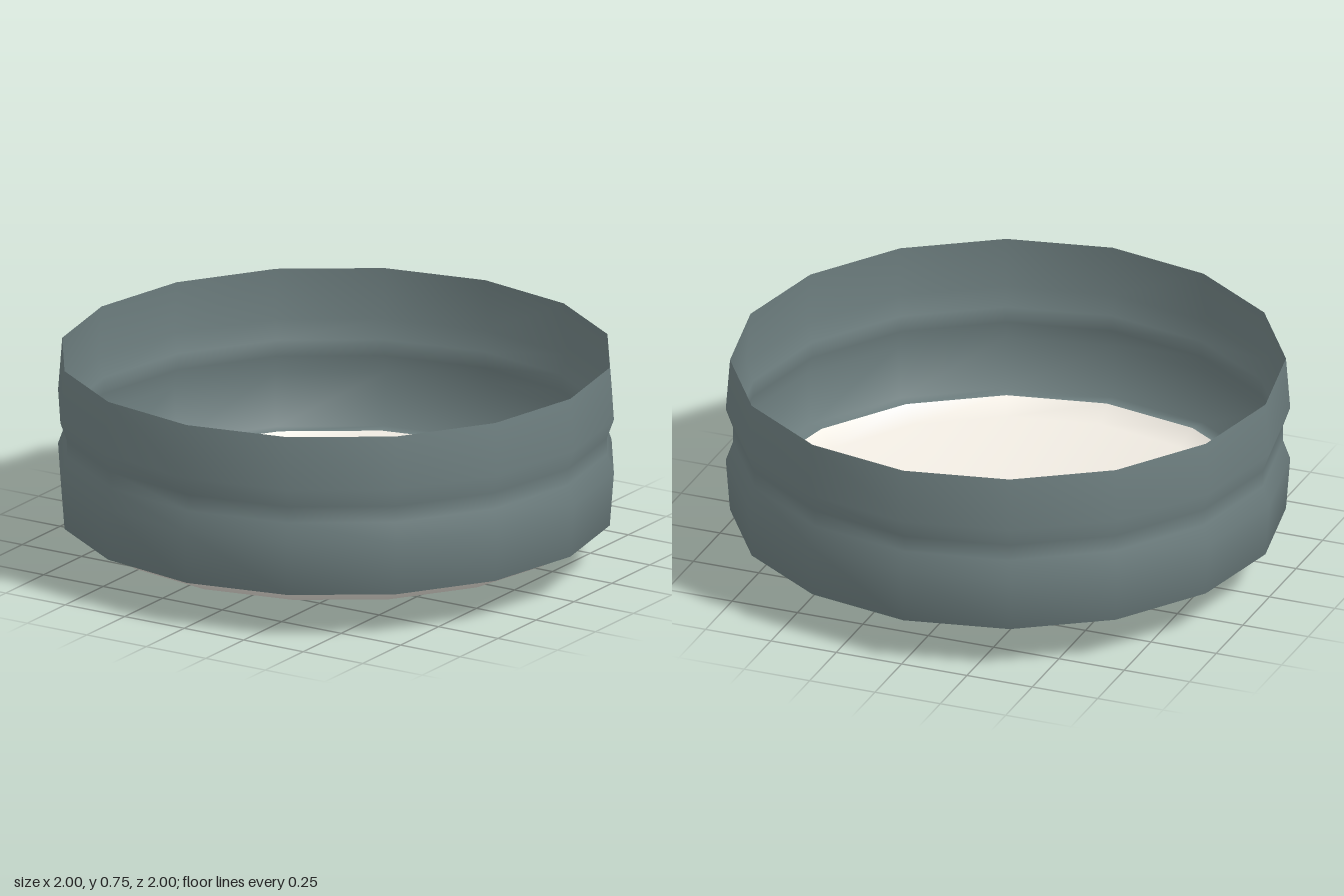
import * as THREE from 'three';

const SIDES = 16;

// Revolves a [radius, height] profile into a thin, smooth-shaded shell
function shell(name, profile, color) {
  const points = profile.map(([r, y]) => new THREE.Vector2(r, y));
  const material = new THREE.MeshStandardMaterial({ side: THREE.DoubleSide });
  material.color.set(color);
  const mesh = new THREE.Mesh(new THREE.LatheGeometry(points, SIDES), material);
  mesh.name = name;
  return mesh;
}

export function createModel() {
  const model = new THREE.Group();
  model.name = 'shallowBowl';

  // Open band with a groove around its middle and a narrow lip turned in underneath
  model.add(shell('band', [
    [0.93, 0.165], [0.985, 0.165], [1, 0.36], [0.975, 0.43],
    [0.975, 0.49], [1, 0.56], [0.985, 0.753],
  ], 0x6f8081));

  // Pale dished floor hanging below the band
  model.add(shell('dishedFloor', [
    [0, 0], [0.2, 0.012], [0.45, 0.04], [0.87, 0.11], [0.93, 0.165],
  ], 0xeee9e0));

  return model;
}
